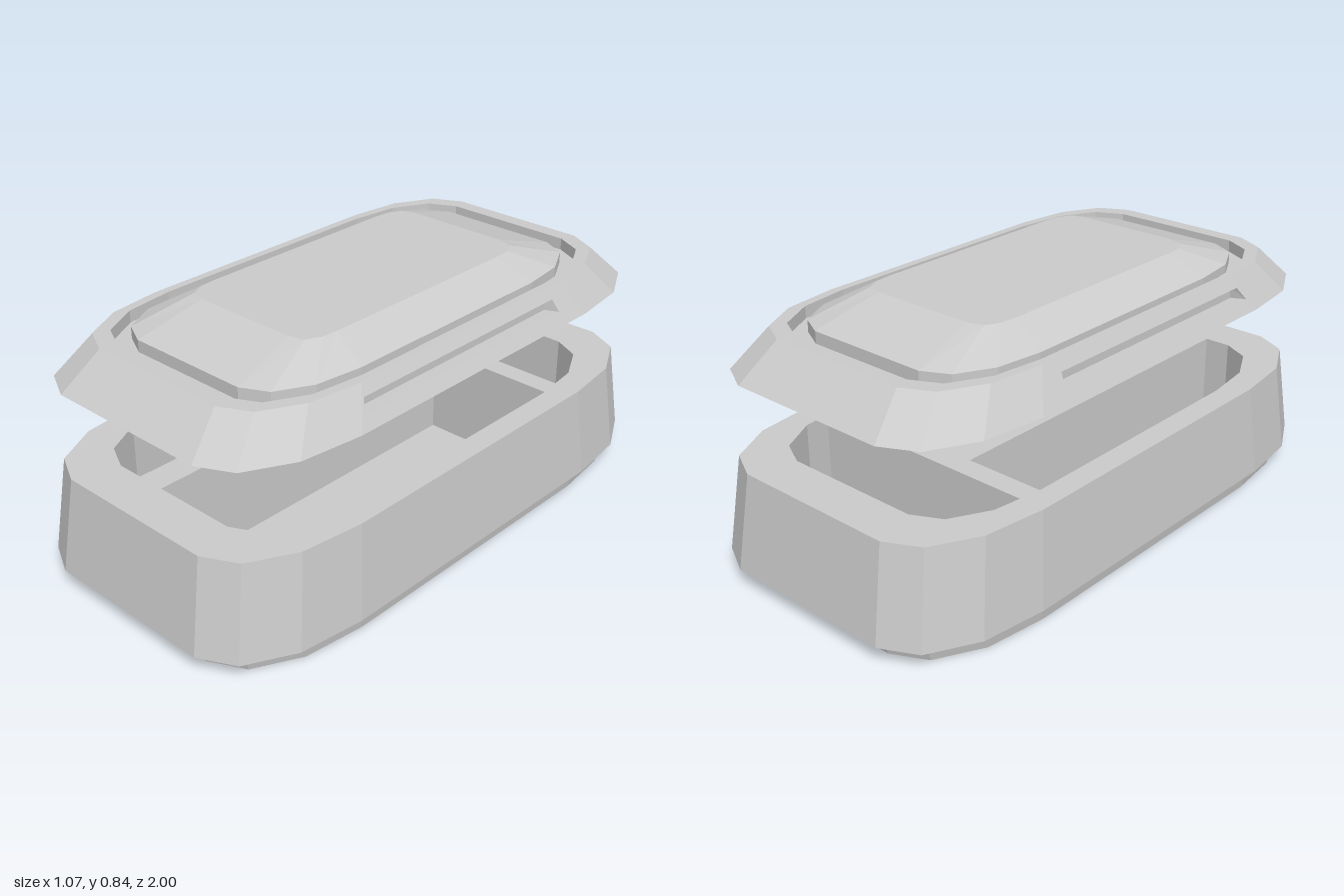
import * as THREE from 'three';

const material = new THREE.MeshStandardMaterial({ color: 0xcccccc, flatShading: true });

// Rounded-rectangle outline, anticlockwise from above, as [x, z] pairs
const quarter = [[0.533, 0.56], [0.505, 0.78], [0.42, 0.94], [0.3, 1]];
const domeQuarter = [[0.263, 0.37], [0.258, 0.43], [0.235, 0.475], [0.185, 0.49]];
const outline = (q, s = 1) => {
  const r = [...q].reverse();
  return [
    ...q.map(([x, z]) => [x, -z]), ...r.map(([x, z]) => [-x, -z]),
    ...q.map(([x, z]) => [-x, z]), ...r.map(([x, z]) => [x, z]),
  ].map(([x, z]) => [x * s, z * s]);
};
const atHeight = (loop, y) => loop.map(([x, z]) => [x, y, z]);
const ring = (s, y) => atHeight(outline(quarter, s), y);

// Skin a chain of 3D loops, with optional flat ends and skipped facets
function loft(name, rings, { capStart = false, capEnd = false, skip = () => false } = {}) {
  const pos = [];
  const tri = (...p) => p.forEach((v) => pos.push(...v));
  for (let k = 0; k < rings.length - 1; k++) {
    const lo = rings[k], hi = rings[k + 1], n = lo.length;
    for (let i = 0; i < n; i++) {
      if (skip(k, i)) continue;
      const j = (i + 1) % n;
      tri(lo[i], lo[j], hi[j]);
      tri(lo[i], hi[j], hi[i]);
    }
  }
  const first = rings[0], last = rings[rings.length - 1];
  for (let i = 1; i < first.length - 1; i++) {
    if (capStart) tri(first[0], first[i + 1], first[i]);
    if (capEnd) tri(last[0], last[i], last[i + 1]);
  }
  const geometry = new THREE.BufferGeometry();
  geometry.setAttribute('position', new THREE.Float32BufferAttribute(pos, 3));
  geometry.computeVertexNormals();
  return named(name, geometry);
}

function named(name, geometry) {
  const mesh = new THREE.Mesh(geometry, material);
  mesh.name = name;
  return mesh;
}

// Keep the part of a convex loop where sign * (coordinate - limit) >= 0
function clip(loop, axis, limit, sign) {
  const out = [];
  loop.forEach((p, i) => {
    const q = loop[(i + 1) % loop.length];
    const dp = sign * (p[axis] - limit), dq = sign * (q[axis] - limit);
    if (dp >= 0) out.push(p);
    if (dp * dq < 0) {
      const t = dp / (dp - dq);
      out.push([p[0] + (q[0] - p[0]) * t, p[1] + (q[1] - p[1]) * t]);
    }
  });
  return out;
}

function createTray() {
  const tray = new THREE.Group();
  tray.name = 'tray';
  const top = 0.373, floor = 0.06;

  // Foot and tapered outer wall
  tray.add(loft('trayShell',
    [ring(0.94, 0), ring(0.957, 0.06), ring(1, 0.06), ring(0.95, top)], { capStart: true }));

  // Three compartments: one across the back, two side by side in front
  const inner = outline(quarter, 0.8);
  const front = clip(inner, 1, -0.455, 1);
  const pockets = {
    backCompartment: clip(inner, 1, -0.53, -1),
    rightCompartment: clip(front, 0, -0.148, -1),
    leftCompartment: clip(front, 0, -0.05, 1),
  };

  // Rim and dividers
  const toVec = ([x, z]) => new THREE.Vector2(x, -z);
  const rim = new THREE.Shape(outline(quarter, 0.95).map(toVec));
  for (const [name, loop] of Object.entries(pockets)) {
    rim.holes.push(new THREE.Path(loop.map(toVec)));
    tray.add(loft(name, [atHeight(loop, top), atHeight(loop, floor)], { capEnd: true }));
  }
  tray.add(named('rimAndDividers',
    new THREE.ShapeGeometry(rim).rotateX(-Math.PI / 2).translate(0, top, 0)));
  return tray;
}

function createLid() {
  const lid = new THREE.Group();
  lid.name = 'lid';
  const y0 = 0.66, y1 = 0.775, s0 = 0.95, s1 = 0.828;

  // Underside recess, plug, sloped edge, groove and raised dome
  lid.add(loft('lidShell', [
    ring(0.82, 0.68), ring(0.82, 0.637), ring(0.878, 0.637), ring(0.878, y0),
    ring(s0, y0), ring(s1, y1), ring(0.775, y1), ring(0.775, 0.735),
    ring(0.715, 0.735), ring(0.715, y1), atHeight(outline(domeQuarter), 0.84),
  ], { capStart: true, capEnd: true, skip: (k, i) => k === 4 && (i === 7 || i === 15) }));

  // Sloped side faces with a recessed slot
  const slopeX = (y) => 0.533 * (s0 + (s1 - s0) * (y - y0) / (y1 - y0));
  const z0 = 0.56 * s0, z1 = 0.56 * s1;
  const face = [[y0, z0], [y0, -z0], [y1, -z1], [y1, z1]];
  const slot = [[0.7, 0.5], [0.7, -0.415], [0.74, -0.405], [0.74, 0.475]];
  const back = [[0.7, 0.475], [0.7, -0.395], [0.74, -0.395], [0.74, 0.465]];
  for (const side of [1, -1]) {
    const place = (loop, xAt) => {
      const pts = loop.map(([y, z]) => [side * xAt(y), y, z]);
      return side > 0 ? pts : pts.reverse();
    };
    lid.add(loft(side > 0 ? 'leftSlot' : 'rightSlot',
      [place(face, slopeX), place(slot, slopeX), place(back, () => 0.44)], { capEnd: true }));
  }
  return lid;
}

export function createModel() {
  const model = new THREE.Group();
  model.name = 'compartmentBox';
  model.add(createTray(), createLid());
  return model;
}
